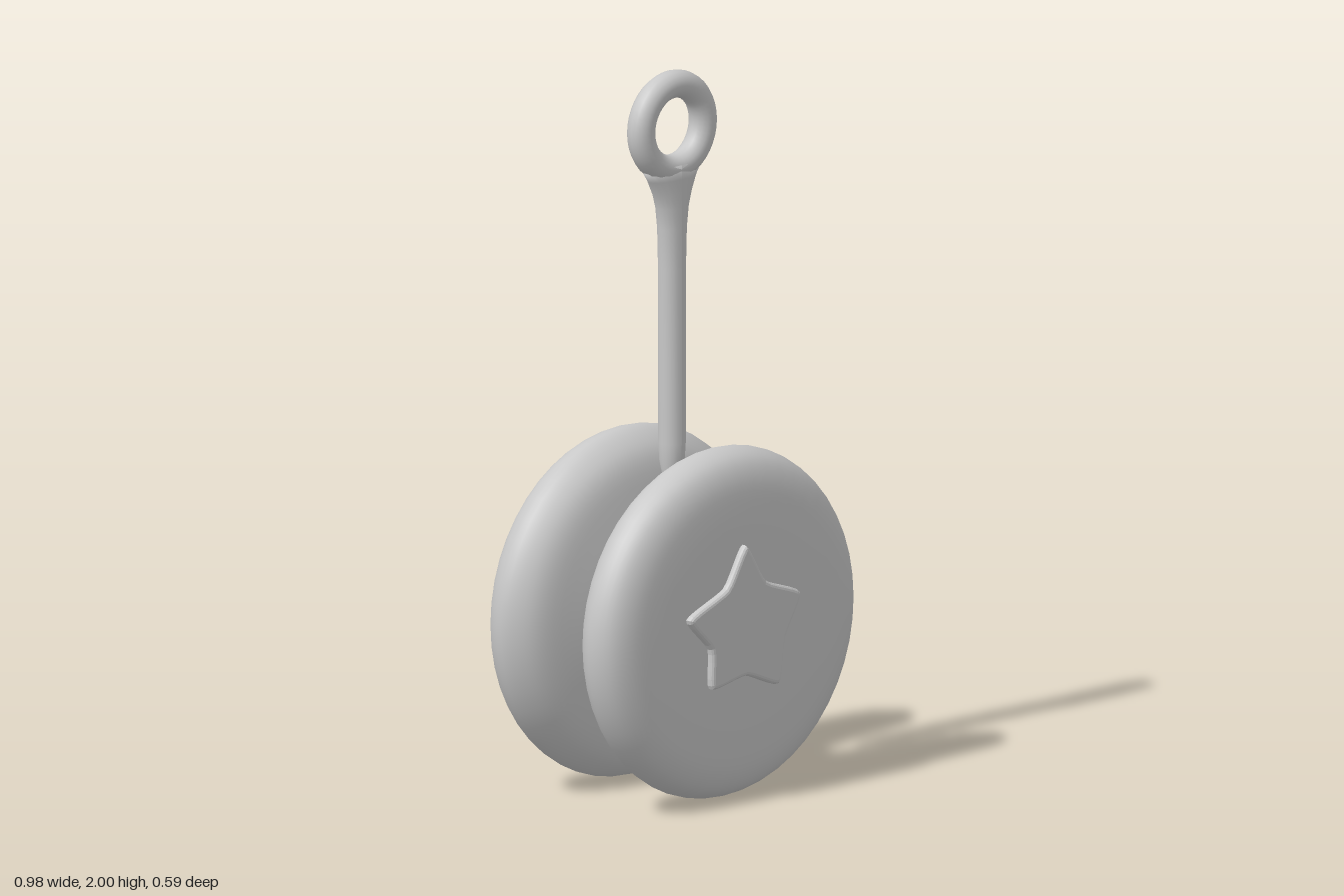
import * as THREE from 'three';

const AXIS_Y = 0.4875;

// Lathe from [radius, height] pairs, smoothed by a spline
function smoothLathe(points, samples, segments) {
  const curve = new THREE.SplineCurve(points.map(([r, y]) => new THREE.Vector2(r, y)));
  const profile = curve.getPoints(samples);
  profile.forEach((p) => { p.x = Math.max(p.x, 0); });
  return new THREE.LatheGeometry(profile, segments);
}

// Rounded star outline, slightly irregular, relative to the wheel axis
function starGeometry() {
  const tips = [[0, 0.72], [0.207, 0.555], [0.125, 0.312], [-0.128, 0.338], [-0.215, 0.545]];
  const dips = [[0.075, 0.61], [0.15, 0.44], [0, 0.355], [-0.135, 0.45], [-0.075, 0.61]];
  const outline = [];
  tips.forEach((tip, i) => outline.push(tip, dips[i]));
  const points = outline.map(([x, y]) => new THREE.Vector3(x, y - AXIS_Y, 0));
  const curve = new THREE.CatmullRomCurve3(points, true, 'catmullrom', 0.3);
  const shape = new THREE.Shape(curve.getPoints(60).slice(0, -1).map((p) => new THREE.Vector2(p.x, p.y)));
  return new THREE.ExtrudeGeometry(shape, {
    depth: 0.03, bevelEnabled: true, bevelThickness: 0.012, bevelSize: 0.012, bevelOffset: -0.012, bevelSegments: 3,
  });
}

export function createModel() {
  const grey = new THREE.MeshStandardMaterial({ color: 0xc8c8c8 });
  grey.name = 'plain grey';
  const model = new THREE.Group();
  model.name = 'yoyo';

  const add = (name, geometry, parent = model) => {
    const mesh = new THREE.Mesh(geometry, grey);
    mesh.name = name;
    parent.add(mesh);
    return mesh;
  };

  // Two rounded wheel halves, each with a raised star
  const wheel = smoothLathe([
    [0.13, 0.02], [0.2, 0.042], [0.3, 0.06], [0.4, 0.081], [0.455, 0.115], [0.4875, 0.17],
    [0.468, 0.228], [0.415, 0.26], [0.33, 0.27], [0.2, 0.273], [0, 0.274],
  ], 40, 48);
  wheel.rotateX(Math.PI / 2);
  const star = starGeometry();
  ['front', 'back'].forEach((side, i) => {
    const half = new THREE.Group();
    half.name = side + 'Half';
    half.position.y = AXIS_Y;
    half.rotation.y = i * Math.PI;
    add(side + 'Wheel', wheel, half);
    add(side + 'Star', star, half).position.z = 0.252;
    model.add(half);
  });

  // Waisted axle joining the halves
  const axle = smoothLathe([[0.15, -0.035], [0.133, -0.015], [0.13, 0], [0.133, 0.015], [0.15, 0.035]], 12, 48);
  axle.rotateX(Math.PI / 2);
  add('axle', axle).position.y = AXIS_Y;

  // Cord: pointed at the bottom, flaring sideways into the loop but keeping its depth
  const cord = new THREE.LatheGeometry([
    [0, 0.77], [0.012, 0.81], [0.025, 0.86], [0.035, 0.91], [0.038, 0.96], [0.038, 1.2], [0.039, 1.45],
    [0.043, 1.56], [0.052, 1.62], [0.066, 1.66], [0.086, 1.7], [0.112, 1.74], [0, 1.745],
  ].map(([r, y]) => new THREE.Vector2(r, y)), 20);
  const pos = cord.attributes.position;
  for (let i = 0; i < pos.count; i++) {
    const r = Math.hypot(pos.getX(i), pos.getZ(i));
    if (r > 0.038) pos.setZ(i, pos.getZ(i) * 0.038 / r);
  }
  cord.computeVertexNormals();
  add('cord', cord);

  // Finger loop
  add('fingerLoop', new THREE.TorusGeometry(0.1175, 0.0385, 16, 40)).position.y = 1.844;

  return model;
}
